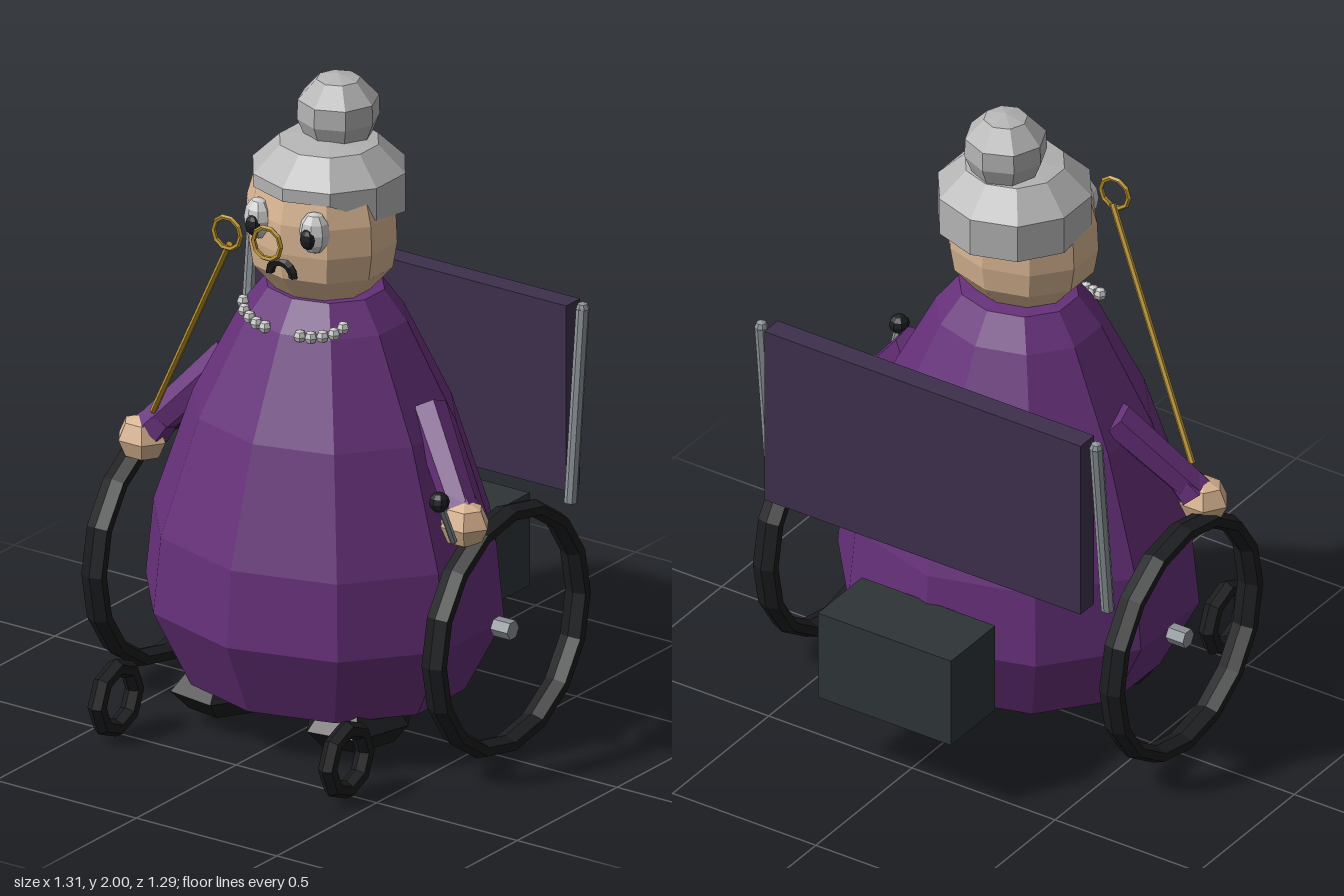
import * as THREE from 'three';

const mat = (color) => new THREE.MeshStandardMaterial({ color, flatShading: true });

export function createModel() {
  const root = new THREE.Group();
  const purple = mat(0x66307a), skin = mat(0xd9b592), hairGrey = mat(0xb4b4b4);
  const black = mat(0x1b1c1e), metal = mat(0x8a9196), gold = mat(0xb8922e);
  const white = mat(0xd6d6d2), panel = mat(0x3e304d), boxGrey = mat(0x2e3437);

  const add = (name, geo, material, x = 0, y = 0, z = 0) => {
    const m = new THREE.Mesh(geo, material);
    m.name = name;
    m.position.set(x, y, z);
    root.add(m);
    return m;
  };
  // Faceted solid of revolution from [radius, height] pairs
  const lathe = (pts, sides) =>
    new THREE.LatheGeometry(pts.map(([r, y]) => new THREE.Vector2(r, y)), sides);
  // Straight rod between two points
  const rod = (name, from, to, r0, r1, sides, material) => {
    const a = new THREE.Vector3(...from), b = new THREE.Vector3(...to);
    const d = b.clone().sub(a);
    const m = add(name, new THREE.CylinderGeometry(r1, r0, d.length(), sides), material);
    m.position.copy(a).add(b).multiplyScalar(0.5);
    m.quaternion.setFromUnitVectors(new THREE.Vector3(0, 1, 0), d.normalize());
    return m;
  };
  const ball = (name, r, w, h, material, x, y, z) => {
    const m = add(name, new THREE.SphereGeometry(1, w, h), material, x, y, z);
    m.scale.set(...r);
    return m;
  };

  // Dress
  add('dress', lathe([[0, 0.15], [0.435, 0.15], [0.557, 0.385], [0.533, 0.62],
    [0.41, 0.98], [0.255, 1.28], [0.185, 1.37], [0, 1.39]], 10), purple, 0, 0, 0.055).scale.z = 0.885;

  // Head
  add('head', lathe([[0, 1.36], [0.15, 1.37], [0.222, 1.45], [0.236, 1.53],
    [0.232, 1.62], [0.2, 1.73], [0, 1.76]], 10), skin, 0, 0, 0.073).scale.z = 0.88;

  // Hair cap: the lower rim rises over the forehead
  const hair = lathe([[0.19, 1.61], [0.232, 1.61], [0.232, 1.73], [0.15, 1.81], [0, 1.83]], 10);
  const p = hair.attributes.position;
  for (let i = 0; i < p.count; i++) {
    if (p.getY(i) < 1.65) {
      const z = p.getZ(i);
      if (z > 0.15) p.setY(i, 1.69);
      else if (z > 0.05) p.setY(i, 1.63);
    }
  }
  add('hair', hair, hairGrey, 0, 0, 0.035);
  add('hairBun', lathe([[0, 1.79], [0.095, 1.8], [0.122, 1.865], [0.12, 1.925],
    [0.065, 1.985], [0, 2]], 8), hairGrey, 0, 0, -0.012);

  // Mouth
  add('mouth', new THREE.TorusGeometry(0.042, 0.014, 5, 8, Math.PI), black, 0, 1.462, 0.272);

  for (const s of [1, -1]) {
    // Eyes
    ball('eye', [0.047, 0.065, 0.04], 8, 6, white, s * 0.1, 1.61, 0.247).rotation.y = s * 0.3;
    ball('pupil', [0.026, 0.032, 0.018], 8, 6, black, s * 0.097, 1.598, 0.279);

    // Necklace beads
    const beads = [[0.178, 1.32, 0.215], [0.16, 1.303, 0.235], [0.13, 1.293, 0.25],
      [0.097, 1.286, 0.262], [0.062, 1.284, 0.268]];
    for (const [x, y, z] of beads) ball('necklaceBead', [0.02, 0.02, 0.02], 6, 4, white, s * x, y, z);

    // Arms, hands, shoes
    rod('arm', [s * 0.35, 1.05, 0.035], [s * 0.55, 0.82, 0.15], 0.058, 0.05, 6, purple);
    rod('cuff', [s * 0.52, 0.85, 0.135], [s * 0.55, 0.81, 0.15], 0.05, 0.06, 6, purple);
    ball('hand', [0.082, 0.073, 0.072], 6, 4, skin, s * 0.573, 0.782, 0.163);
    ball('shoe', [0.16, 0.085, 0.205], 6, 4, black, s * 0.225, 0.11, 0.2).rotation.y = s * 0.15;

    // Chair wheels, hubs and casters
    const wheel = add('wheel', new THREE.TorusGeometry(0.36, 0.026, 6, 16), black, s * 0.605, 0.407, 0);
    wheel.rotation.y = Math.PI / 2;
    wheel.scale.z = 1.6;
    const hub = add('wheelHub', new THREE.CylinderGeometry(0.03, 0.03, 0.06, 6), metal, s * 0.6, 0.407, 0);
    hub.rotation.z = Math.PI / 2;
    const caster = add('caster', new THREE.TorusGeometry(0.094, 0.028, 6, 8), black, s * 0.41, 0.125, 0.525);
    caster.rotation.y = Math.PI / 2;

    // Handle posts beside the backrest
    rod('backPost', [s * 0.585, 0.68, -0.352], [s * 0.585, 1.27, -0.412], 0.02, 0.02, 8, metal);
    ball('postCap', [0.021, 0.021, 0.021], 8, 4, metal, s * 0.585, 1.268, -0.412);
  }

  // Backrest and rear battery box
  add('backrest', new THREE.BoxGeometry(1.105, 0.58, 0.07), panel, 0, 0.99, -0.41);
  add('batteryBox', new THREE.BoxGeometry(0.465, 0.29, 0.23), boxGrey, 0, 0.385, -0.528);

  // Joystick under the left hand
  rod('joystickStick', [0.582, 0.75, 0.23], [0.582, 0.9, 0.302], 0.011, 0.011, 6, metal);
  ball('joystickKnob', [0.031, 0.031, 0.031], 8, 6, black, 0.582, 0.898, 0.302);

  // Spectacles held on a stick in the right hand
  rod('spectaclesHandle', [-0.525, 0.88, 0.177], [-0.137, 1.55, 0.34], 0.01, 0.01, 6, gold);
  for (const x of [-0.142, 0]) {
    add('spectaclesRim', new THREE.TorusGeometry(0.049, 0.008, 5, 10), gold, x, 1.585, 0.345);
  }
  return root;
}
